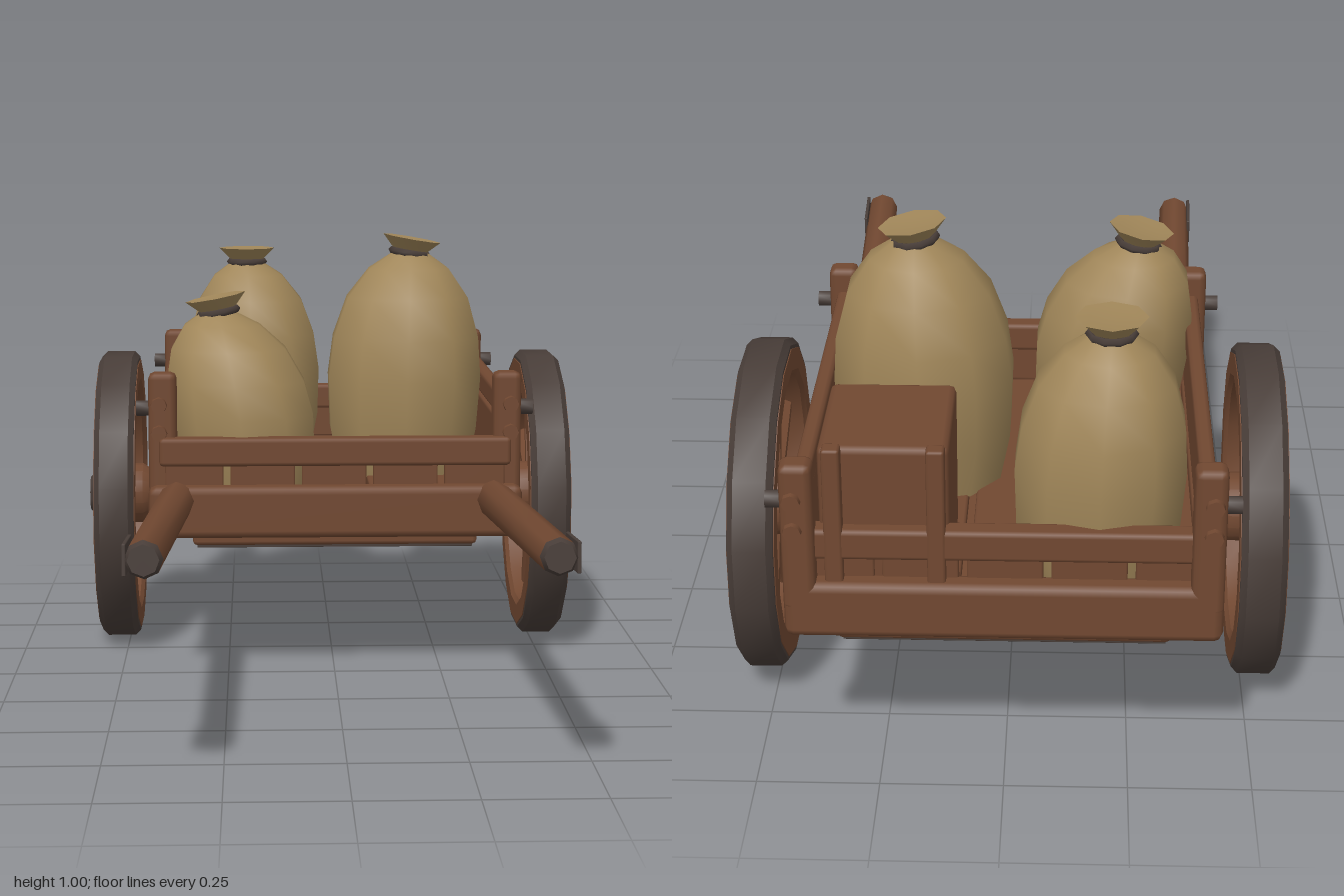
import * as THREE from 'three';
import { RoundedBoxGeometry } from 'three/addons/geometries/RoundedBoxGeometry.js';
import { toCreasedNormals } from 'three/addons/utils/BufferGeometryUtils.js';

const mat = (name, color) => Object.assign(new THREE.MeshStandardMaterial({ color }), { name });

export function createModel() {
  const wood = mat('wood', 0x714831);
  const dark = mat('dark iron', 0x483d38);
  const burlap = mat('burlap', 0xa08659);
  const cart = new THREE.Group();
  cart.name = 'handCart';

  const add = (name, geo, material, parent = cart) => {
    const mesh = new THREE.Mesh(geo, material);
    mesh.name = name;
    parent.add(mesh);
    return mesh;
  };
  // Chamfered beam given by its extents on each axis
  const beam = (name, [x0, x1], [y0, y1], [z0, z1], material = wood, bevel = 0.01) => {
    const s = [x1 - x0, y1 - y0, z1 - z0];
    const geo = new RoundedBoxGeometry(...s, 1, Math.min(bevel, Math.min(...s) * 0.3));
    const mesh = add(name, geo, material);
    mesh.position.set((x0 + x1) / 2, (y0 + y1) / 2, (z0 + z1) / 2);
    return mesh;
  };
  const rod = (name, a, b, r0, r1, sides, material, parent = cart) => {
    const dir = new THREE.Vector3().subVectors(b, a);
    const geo = toCreasedNormals(new THREE.CylinderGeometry(r1, r0, dir.length(), sides), 0.9);
    const mesh = add(name, geo, material, parent);
    mesh.position.copy(a).add(b).multiplyScalar(0.5);
    mesh.quaternion.setFromUnitVectors(new THREE.Vector3(0, 1, 0), dir.normalize());
    return mesh;
  };
  const V = (x, y, z) => new THREE.Vector3(x, y, z);
  const MID = -0.455; // z of the axle and the middle of the bed

  // Bed: frame, underside and floor planks
  beam('bedBase', [-0.39, 0.39], [0.345, 0.405], [-0.95, 0.04]);
  beam('underFrame', [-0.33, 0.33], [0.315, 0.36], [-0.95, 0.03]);
  beam('undersidePanel', [-0.32, 0.32], [0.309, 0.317], [-0.94, 0.02], dark, 0.001);
  const seams = [-0.4, -0.25, -0.085, 0.08, 0.245, 0.4];
  for (let i = 0; i < 5; i++) {
    const span = [seams[i] + 0.008, seams[i + 1] - 0.008];
    beam('floorPlank', span, [0.395, 0.425], [-0.95, 0.04], wood, 0.006);
    // Short blocks that leave narrow slots in both end walls
    beam('frontSlat', span, [0.43, 0.53], [0.015, 0.04], wood, 0.004);
    beam('backSlat', span, [0.43, 0.53], [-0.95, -0.925], wood, 0.004);
  }

  // End walls
  for (const [side, s] of [['front', 1], ['back', -1]]) {
    const z = (a, b) => [MID + s * a, MID + s * b].sort((p, q) => p - q);
    beam(side + 'Beam', [-0.43, 0.43], [0.34, 0.46], z(0.475, 0.535), wood, 0.018);
    beam(side + 'Rail', [-0.405, 0.405], [0.505, 0.57], z(0.465, 0.515));
  }

  // Side walls, corner posts and bolts
  for (const [side, s] of [['left', 1], ['right', -1]]) {
    const x = (a, b) => [s * a, s * b].sort((p, q) => p - q);
    beam(side + 'TopRail', x(0.378, 0.412), [0.61, 0.665], [-0.96, 0.01]);
    beam(side + 'SidePlank', x(0.385, 0.41), [0.455, 0.595], [-0.96, 0.03]);
    beam(side + 'SideBeam', x(0.38, 0.415), [0.345, 0.45], [-0.96, 0.03]);
    for (const z of [0.005, -0.96]) {
      beam(side + 'CornerPost', x(0.365, 0.43), [0.4, 0.718], [z - 0.03, z + 0.03], wood, 0.015);
      rod('postBolt', V(s * 0.42, 0.635, z), V(s * 0.458, 0.635, z), 0.018, 0.018, 8, dark);
      const out = z > MID ? 1 : -1;
      for (const y of [0.58, 0.645])
        rod('postPeg', V(s * 0.405, y, z), V(s * 0.405, y, z + out * 0.042), 0.022, 0.018, 8, wood);
    }

    // Shaft with an iron tip and a plate on its outer face
    const a = V(s * 0.365, 0.425, 0.02), b = V(s * 0.395, 0.48, 0.985);
    rod(side + 'Shaft', a, b, 0.042, 0.038, 8, wood);
    const dir = V().subVectors(b, a).normalize();
    rod(side + 'ShaftTip', b, b.clone().addScaledVector(dir, 0.015), 0.038, 0.031, 8, dark);
    const plate = add(side + 'ShaftPlate', new RoundedBoxGeometry(0.008, 0.062, 0.14, 1, 0.002), dark);
    plate.position.set(s * 0.431, 0.475, 0.92);
    plate.rotation.set(-0.055, s * 0.03, 0);
  }

  // Crate in the back left corner with two uprights
  beam('crate', [0.105, 0.36], [0.42, 0.735], [-0.94, -0.645], wood, 0.014);
  for (const x of [0.13, 0.33])
    beam('crateUpright', [x - 0.018, x + 0.018], [0.45, 0.745], [-0.972, -0.935], wood, 0.006);

  // Axle and wheels
  rod('axle', V(-0.47, 0.355, MID), V(0.47, 0.355, MID), 0.062, 0.062, 10, dark);
  const ring = (points) => {
    const geo = new THREE.LatheGeometry(points.map(p => new THREE.Vector2(...p)), 16);
    geo.rotateY(Math.PI / 16);
    return toCreasedNormals(geo.rotateZ(-Math.PI / 2), 0.6);
  };
  for (const [side, s] of [['left', 1], ['right', -1]]) {
    const wheel = new THREE.Group();
    wheel.name = side + 'Wheel';
    wheel.position.set(s * 0.522, 0.357, MID);
    wheel.rotation.y = s > 0 ? 0 : Math.PI;
    cart.add(wheel);
    add('tyre', ring([[0.325, -0.047], [0.345, -0.047], [0.358, -0.034], [0.358, 0.034],
      [0.345, 0.047], [0.325, 0.047], [0.325, -0.047]]), dark, wheel);
    add('rim', ring([[0.28, -0.04], [0.29, -0.049], [0.337, -0.049], [0.337, 0.049],
      [0.29, 0.049], [0.28, 0.04], [0.28, -0.04]]), wood, wheel);
    for (let i = 0; i < 8; i++) {
      const t = (i + 0.5) * Math.PI / 4, c = Math.cos(t), d = Math.sin(t);
      rod('spoke', V(0, 0.04 * c, 0.04 * d), V(0, 0.295 * c, 0.295 * d), 0.023, 0.019, 6, wood, wheel);
    }
    add('hub', ring([[0, -0.075], [0.06, -0.075], [0.074, -0.055], [0.076, 0.03],
      [0.062, 0.058], [0, 0.058]]), wood, wheel);
    add('hubCap', ring([[0.05, 0.05], [0.05, 0.068], [0.042, 0.077], [0, 0.077]]), dark, wheel);
  }

  // Sacks: a lathe body leaning towards its neck, a cord and a flared mouth
  const body = [[0, 0], [0.84, 0], [0.96, 0.2], [1, 0.44], [0.95, 0.62], [0.79, 0.8], [0.52, 0.93], [0.23, 1]];
  const mouth = [[0.042, -0.012], [0.042, 0.006], [0.072, 0.036], [0.05, 0.034], [0, 0.03]];
  const sack = (name, x, z, rx, rz, top, leanX, leanZ, tilt) => {
    const group = new THREE.Group();
    group.name = name;
    group.position.set(x, 0.42, z);
    cart.add(group);
    const h = top - 0.42;
    const geo = new THREE.LatheGeometry(body.map(([r, y]) => new THREE.Vector2(r, y)), 10);
    geo.scale(rx, h, rz);
    const p = geo.attributes.position;
    for (let i = 0; i < p.count; i++) {
      const t = (p.getY(i) / h) ** 2;
      p.setXYZ(i, p.getX(i) + leanX * t, p.getY(i), p.getZ(i) + leanZ * t);
    }
    add('sackBody', toCreasedNormals(geo, 0.9), burlap, group);
    const neck = new THREE.Group();
    neck.name = 'sackNeck';
    neck.position.set(leanX, h, leanZ);
    neck.rotation.z = tilt;
    group.add(neck);
    const flare = new THREE.LatheGeometry(mouth.map(q => new THREE.Vector2(...q)), 8);
    add('sackMouth', toCreasedNormals(flare, 0.6), burlap, neck);
    add('cord', new THREE.TorusGeometry(0.044, 0.009, 5, 10).rotateX(Math.PI / 2), dark, neck);
  };
  sack('frontSack', -0.205, -0.125, 0.178, 0.168, 0.843, -0.065, -0.02, 0.19);
  sack('middleSack', 0.182, -0.42, 0.197, 0.183, 0.962, 0.018, -0.01, -0.17);
  sack('backSack', -0.183, -0.79, 0.178, 0.163, 0.915, -0.022, 0, 0);

  return cart;
}
